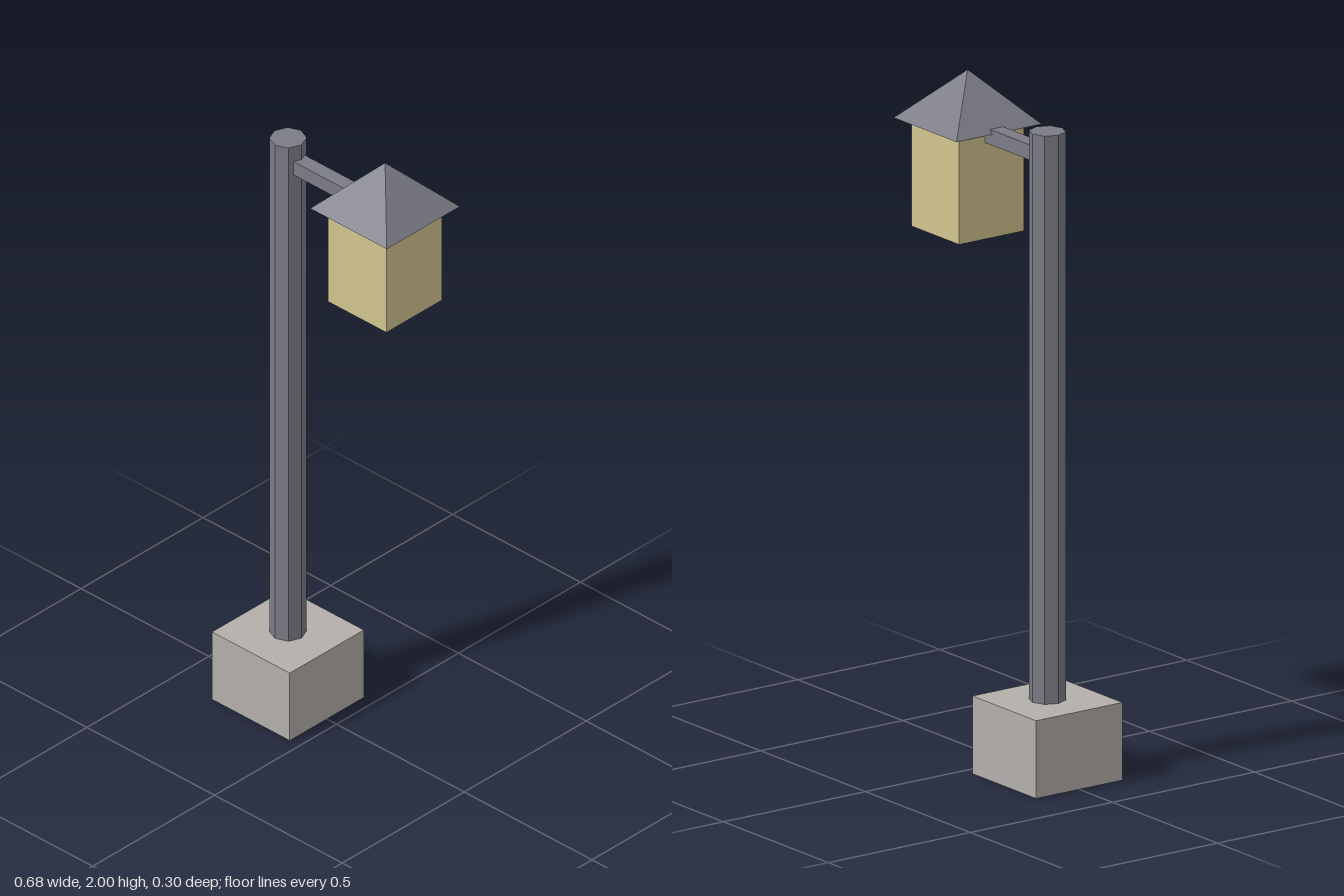
import * as THREE from 'three';

const POST_X = -0.19;
const LAMP_X = 0.19;

function material(name, color) {
  const m = new THREE.MeshStandardMaterial({ color });
  m.name = name;
  return m;
}

export function createModel() {
  const model = new THREE.Group();
  model.name = 'streetLamp';

  const stone = material('stone', 0xb3afab);
  const metal = material('metal', 0x7b7c86);
  const glow = material('lampGlass', 0xd3c68f);

  // Faceted look: split the vertices so every face has its own normal
  const add = (name, geometry, mat, x, y) => {
    const flat = geometry.toNonIndexed();
    flat.computeVertexNormals();
    const mesh = new THREE.Mesh(flat, mat);
    mesh.name = name;
    mesh.position.set(x, y, 0);
    model.add(mesh);
  };

  // Square footing
  add('base', new THREE.BoxGeometry(0.304, 0.23, 0.304), stone, POST_X, 0.115);

  // Eight-sided post, standing on the footing
  add('post', new THREE.CylinderGeometry(0.053, 0.053, 1.68, 8), metal, POST_X, 1.07);

  // Arm from the post's axis to the lantern's axis
  add('arm', new THREE.BoxGeometry(LAMP_X - POST_X, 0.045, 0.046), metal, 0, 1.8375);

  // Lantern body
  add('lantern', new THREE.BoxGeometry(0.228, 0.304, 0.228), glow, LAMP_X, 1.682);

  // Four-sided pyramid roof, turned so its edges are square to the arm
  const roof = new THREE.ConeGeometry(0.15 * Math.SQRT2, 0.152, 4).rotateY(Math.PI / 4);
  add('roof', roof, metal, LAMP_X, 1.924);

  return model;
}
